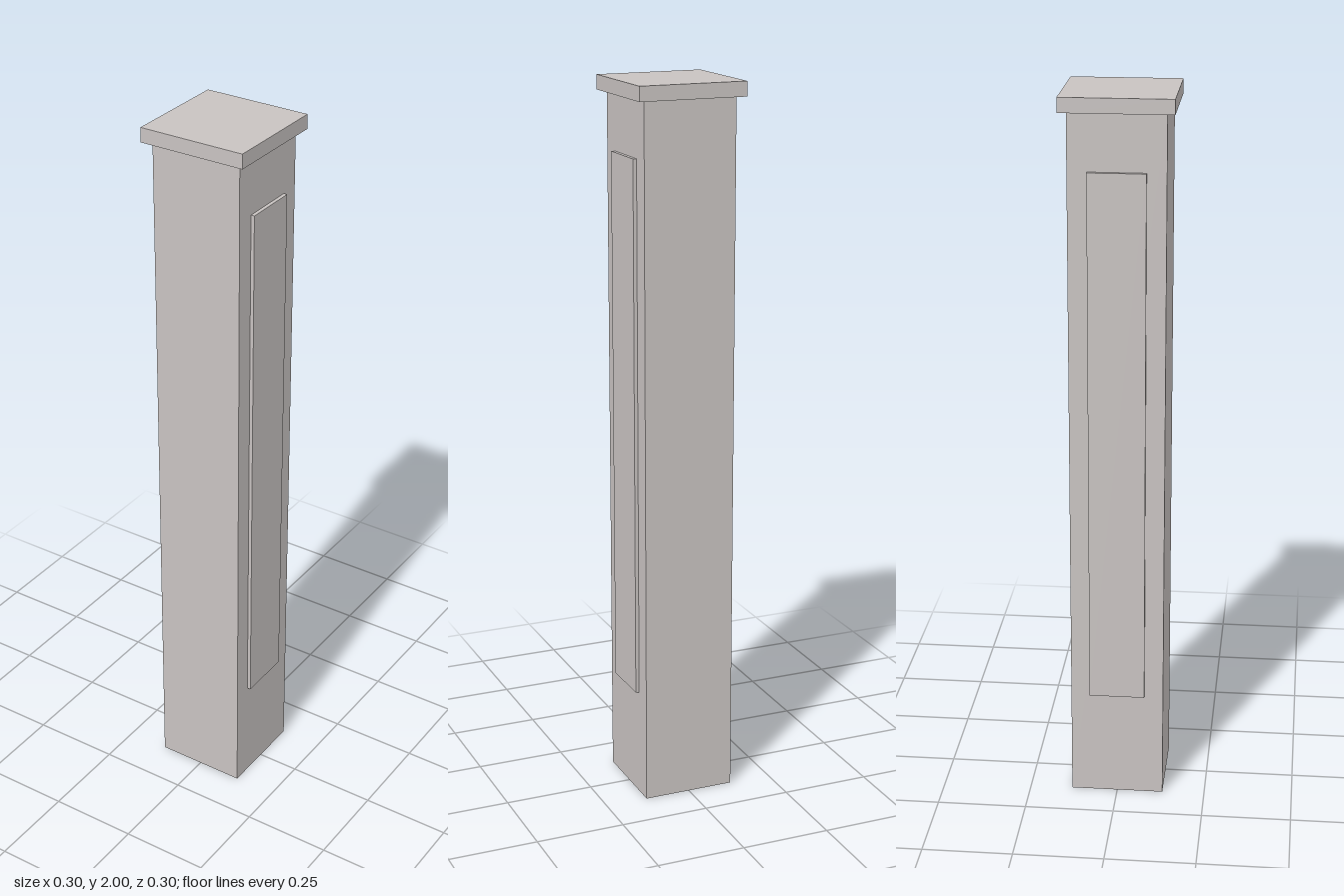
import * as THREE from 'three';

export function createModel() {
  const group = new THREE.Group();
  group.name = 'squarePillar';

  const stone = new THREE.MeshStandardMaterial({ color: 0xc8c3c1 });
  stone.name = 'warm grey stone';

  // Box placed by its bottom height
  function addBox(name, width, height, depth, x, bottom) {
    const mesh = new THREE.Mesh(new THREE.BoxGeometry(width, height, depth), stone);
    mesh.name = name;
    mesh.position.set(x, bottom + height / 2, 0);
    group.add(mesh);
  }

  // Square shaft and overhanging cap
  addBox('shaft', 0.26, 1.96, 0.26, 0, 0);
  addBox('cap', 0.302, 0.04, 0.302, 0, 1.96);

  // Raised panels on the left and right faces
  for (const side of [1, -1]) {
    addBox(side > 0 ? 'leftPanel' : 'rightPanel', 0.02, 1.5, 0.155, side * 0.13, 0.305);
  }

  return group;
}
